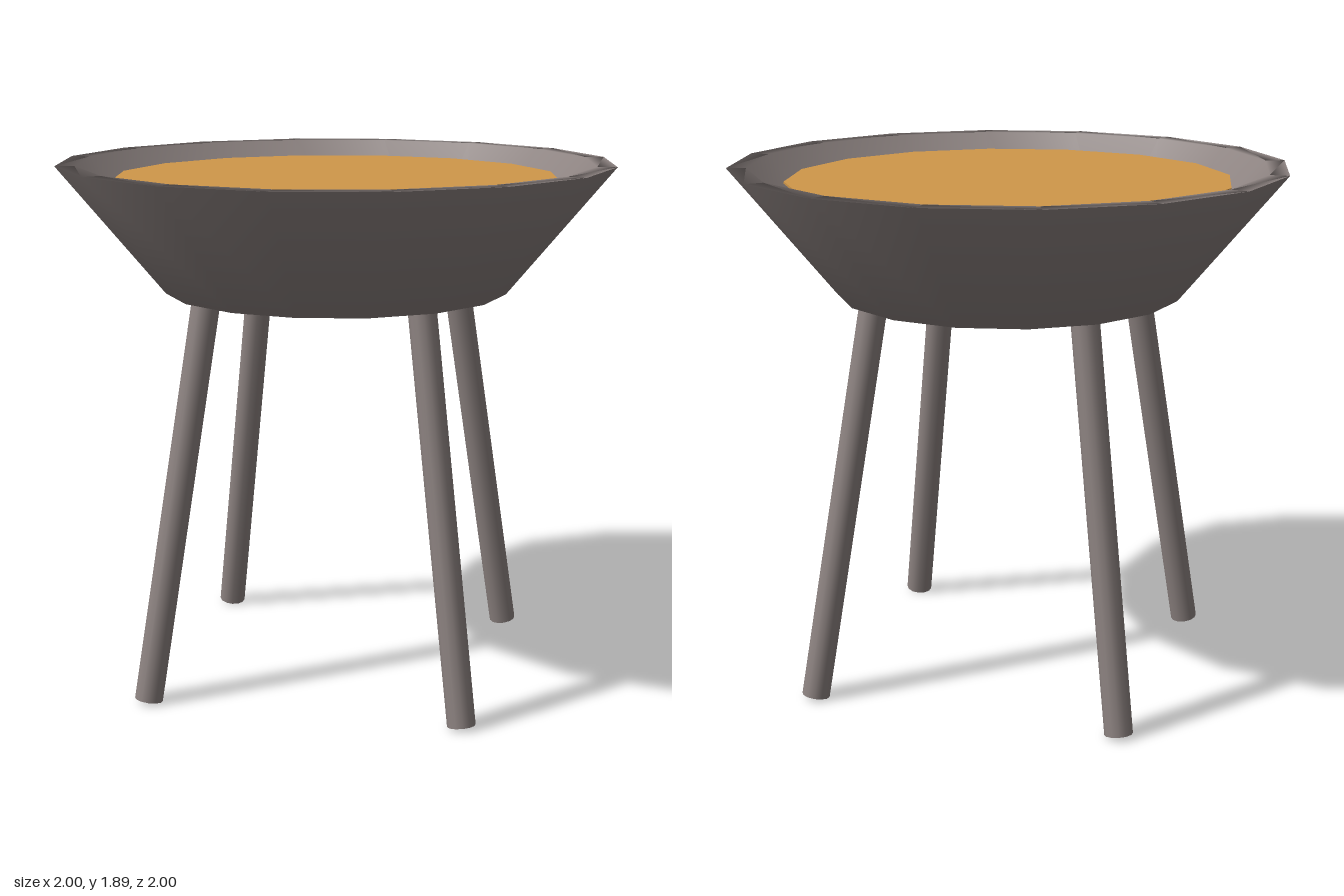
import * as THREE from 'three';

const SIDES = 16;

export function createModel() {
  const model = new THREE.Group();
  const iron = new THREE.MeshStandardMaterial({ color: 0x8c8280 });
  iron.name = 'warm grey iron';
  const amber = new THREE.MeshStandardMaterial({ color: 0xd0974a });
  amber.name = 'amber';

  const add = (name, geometry, material) => {
    const mesh = new THREE.Mesh(geometry, material);
    mesh.name = name;
    model.add(mesh);
    return mesh;
  };

  // Bowl: outer wall, rim and inner wall in one closed profile
  const profile = [
    [0, 1.36], [0.62, 1.43], [1, 1.89], [0.93, 1.89], [0.58, 1.5], [0, 1.44],
  ].map(([r, y]) => new THREE.Vector2(r, y));
  add('bowl', new THREE.LatheGeometry(profile, SIDES), iron);

  // Flat filling just below the rim
  const filling = add('filling', new THREE.CylinderGeometry(0.8, 0.8, 0.008, SIDES), amber);
  filling.position.y = 1.836;

  // Four splayed legs, one on each axis
  const up = new THREE.Vector3(0, 1, 0);
  ['frontLeg', 'leftLeg', 'backLeg', 'rightLeg'].forEach((name, i) => {
    const foot = new THREE.Vector3(0, 0.01, 0.8).applyAxisAngle(up, i * Math.PI / 2);
    const top = new THREE.Vector3(0, 1.43, 0.54).applyAxisAngle(up, i * Math.PI / 2);
    const axis = top.clone().sub(foot);
    const leg = add(name, new THREE.CylinderGeometry(0.05, 0.05, axis.length(), 12), iron);
    leg.position.copy(foot).add(top).multiplyScalar(0.5);
    leg.quaternion.setFromUnitVectors(up, axis.normalize());
  });

  return model;
}
